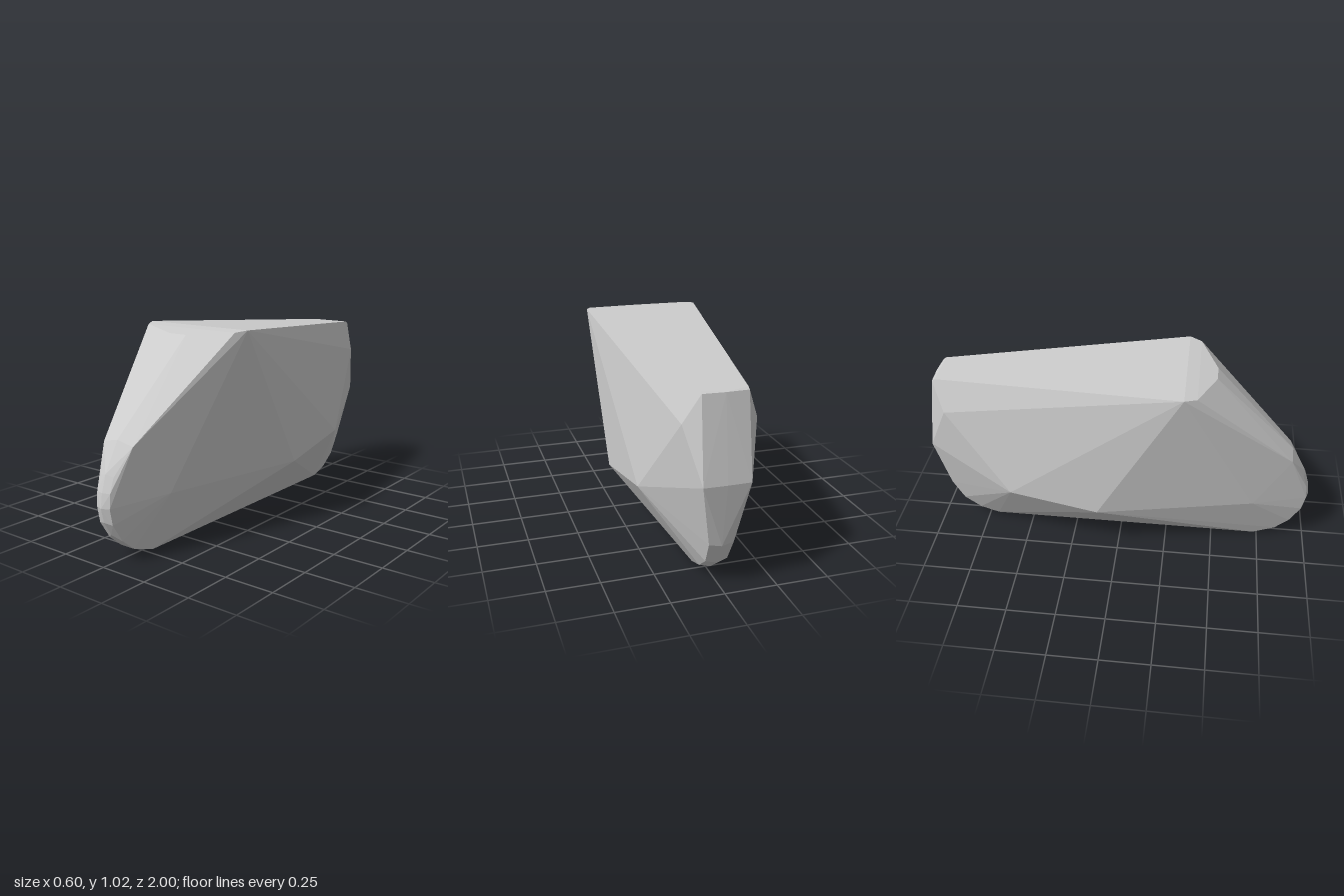
import * as THREE from 'three';
import { ConvexGeometry } from 'three/addons/geometries/ConvexGeometry.js';

// Faceted convex block: wide shoulders, narrow rounded nose, keel and tail.
export function createModel() {
  const grey = new THREE.MeshStandardMaterial({ color: 0xcccccc });
  grey.name = 'light grey';

  // Corners [half width, y, z], mirrored to both sides
  const shoulders = [
    [0.30, 1.02, 0.32], [0.27, 1.013, 0.38], [0.05, 0.995, 0.47],
    [0.145, 0.30, 0.70], [0.295, 0.29, -0.10], [0.27, 0.36, -0.555],
  ];
  const noseEdge = [
    [0.09, 0.55, 0.88], [0.04, 0.42, 0.955], [0.04, 0.35, 0.98], [0.04, 0.28, 0.985],
    [0.04, 0.20, 0.97], [0.04, 0.11, 0.915], [0.042, 0.05, 0.845], [0.05, 0.012, 0.73],
  ];
  const tailEdge = [
    [0.05, 0.012, -0.70], [0.05, 0.045, -0.80], [0.052, 0.11, -0.885],
    [0.058, 0.22, -0.942], [0.11, 0.52, -0.998], [0.17, 0.77, -0.885],
    [0.105, 0.915, -0.945], [0.105, 0.925, -0.93],
  ];
  // Ridge along the centre line [y, z]
  const ridge = [
    [0.57, 0.885], [0.43, 0.965], [0.35, 0.99], [0.28, 1.0], [0.21, 0.985],
    [0.14, 0.945], [0.09, 0.90], [0.035, 0.82], [0.002, 0.72],
    [0.002, -0.70], [0.035, -0.81], [0.10, -0.895], [0.21, -0.95],
    [0.52, -1.0], [0.915, -0.95],
  ];

  const points = ridge.map(([y, z]) => new THREE.Vector3(0, y, z));
  for (const [x, y, z] of [...shoulders, ...noseEdge, ...tailEdge]) {
    points.push(new THREE.Vector3(x, y, z), new THREE.Vector3(-x, y, z));
  }

  const body = new THREE.Mesh(new ConvexGeometry(points), grey);
  body.name = 'body';

  const model = new THREE.Group();
  model.name = 'facetedBlock';
  model.add(body);
  return model;
}
